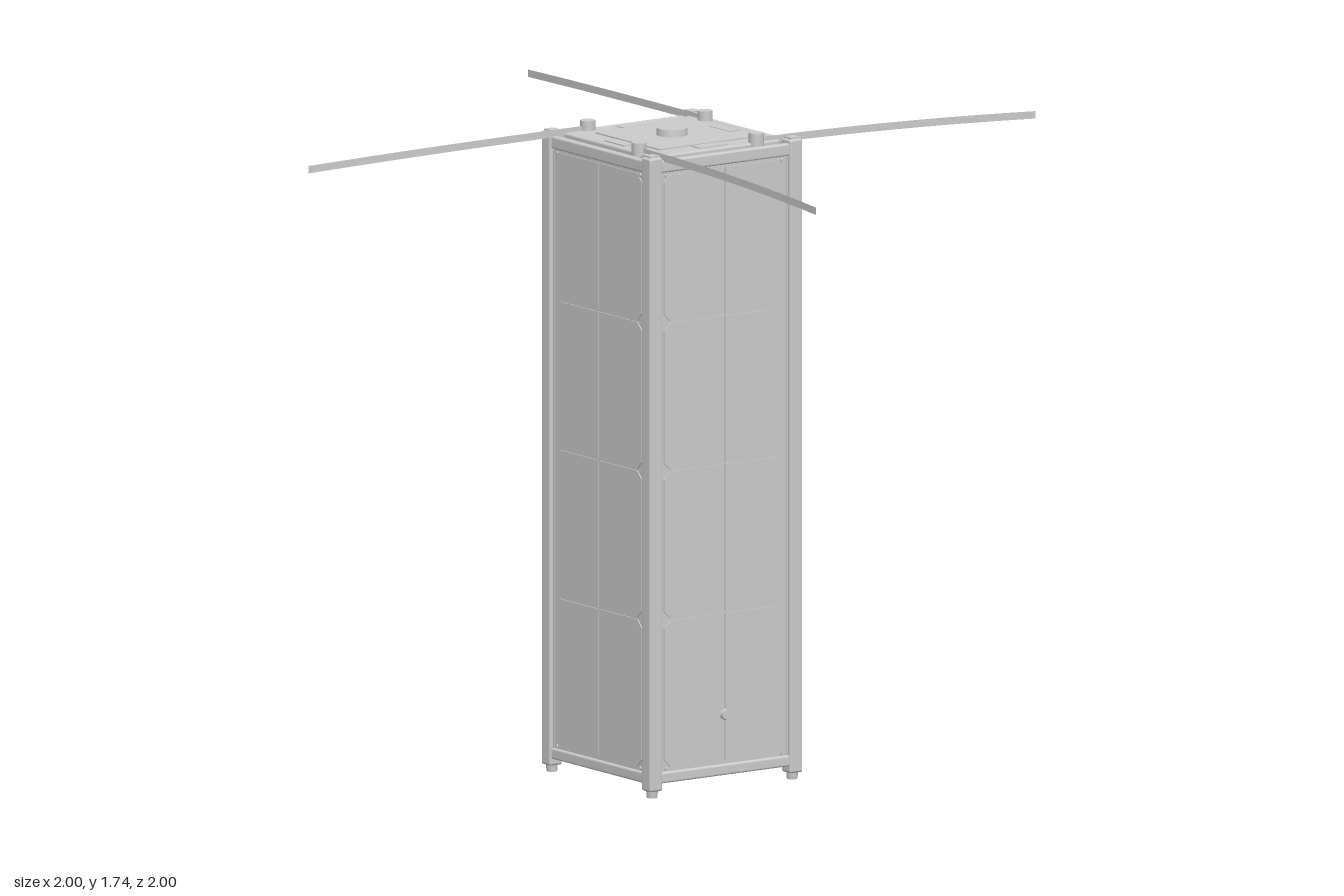
import * as THREE from 'three';
import { RoundedBoxGeometry } from 'three/addons/geometries/RoundedBoxGeometry.js';

const grey = new THREE.MeshStandardMaterial({ color: 0xcccccc });
const thin = new THREE.MeshStandardMaterial({ color: 0xcccccc, side: THREE.DoubleSide });

function add(parent, name, geometry, x = 0, y = 0, z = 0, material = grey) {
  const mesh = new THREE.Mesh(geometry, material);
  mesh.name = name;
  mesh.position.set(x, y, z);
  parent.add(mesh);
  return mesh;
}
const box = (w, h, d) => new THREE.BoxGeometry(w, h, d);

// Solar cell outline with clipped outer corners
function cellGeometry(w, h, cut) {
  const s = new THREE.Shape();
  s.moveTo(0, 0);
  s.lineTo(w - cut, 0);
  s.lineTo(w, cut);
  s.lineTo(w, h - cut);
  s.lineTo(w - cut, h);
  s.lineTo(0, h);
  s.closePath();
  return new THREE.ExtrudeGeometry(s, { depth: 0.003, bevelEnabled: false });
}

// Flat tape that drifts sideways and droops towards its tip
function tapeGeometry() {
  const n = 24, pos = [], index = [];
  for (let i = 0; i <= n; i++) {
    const t = i / n, x = 0.13 + 0.87 * t;
    const z = 0.199 + 0.049 * Math.pow(t, 1.7);
    const y = 1.717 - 0.019 * t * t;
    pos.push(x, y - 0.01, z, x, y + 0.01, z);
    if (i < n) {
      const a = i * 2;
      index.push(a, a + 2, a + 1, a + 1, a + 2, a + 3);
    }
  }
  const g = new THREE.BufferGeometry();
  g.setAttribute('position', new THREE.Float32BufferAttribute(pos, 3));
  g.setIndex(index);
  g.computeVertexNormals();
  return g;
}

// One side: panel, cross beams, cells and screws, facing +z
function buildSide(cell) {
  const side = new THREE.Group();
  side.name = 'sidePanel';
  add(side, 'panelBoard', box(0.412, 1.61, 0.01), 0, 0.87, 0.231);
  add(side, 'topBeam', new RoundedBoxGeometry(0.42, 0.034, 0.02, 2, 0.006), 0, 1.693, 0.234);
  add(side, 'bottomBeam', new RoundedBoxGeometry(0.42, 0.03, 0.02, 2, 0.006), 0, 0.052, 0.234);
  for (const s of [-1, 1]) {
    add(side, 'panelEdge', box(0.006, 1.61, 0.012), s * 0.206, 0.87, 0.232);
    for (let row = 0; row < 4; row++) {
      const c = add(side, 'solarCell', cell, s * 0.002, 0.078 + row * 0.399 + (s < 0 ? 0.394 : 0), 0.236);
      if (s < 0) {
        c.rotation.z = Math.PI;
      }
    }
    for (const y of [0.074, 1.667]) {
      const screw = add(side, 'screw', new THREE.CylinderGeometry(0.005, 0.005, 0.006, 10), s * 0.188, y, 0.238);
      screw.rotation.x = Math.PI / 2;
    }
  }
  return side;
}

export function createModel() {
  const model = new THREE.Group();
  model.name = 'smallSatellite';
  const cell = cellGeometry(0.194, 0.394, 0.02);
  const tape = tapeGeometry();

  // Core and end plates
  add(model, 'core', box(0.404, 1.64, 0.404), 0, 0.865, 0);
  add(model, 'topPlate', new RoundedBoxGeometry(0.41, 0.03, 0.41, 2, 0.006), 0, 1.7, 0);
  add(model, 'bottomPlate', box(0.41, 0.012, 0.41), 0, 0.044, 0);
  add(model, 'patchAntenna', box(0.29, 0.006, 0.29), 0, 1.716, 0);
  add(model, 'centreDisc', new THREE.CylinderGeometry(0.04, 0.042, 0.022, 32), 0, 1.727, 0);

  for (let k = 0; k < 4; k++) {
    const quarter = new THREE.Group();
    quarter.name = 'quarter' + (k + 1);
    quarter.rotation.y = k * Math.PI / 2;
    model.add(quarter);
    quarter.add(buildSide(cell));

    // Corner rail with stepped ends
    add(quarter, 'cornerRail', new RoundedBoxGeometry(0.042, 1.702, 0.042, 3, 0.007), 0.227, 0.869, 0.227);
    add(quarter, 'railFoot', new THREE.CylinderGeometry(0.016, 0.014, 0.022, 20), 0.227, 0.011, 0.227);
    add(quarter, 'railCap', box(0.03, 0.006, 0.03), 0.227, 1.721, 0.227);

    // Deployed tape antenna and its hub
    add(quarter, 'tapeAntenna', tape, 0, 0, 0, thin);
    add(quarter, 'antennaHub', new THREE.CylinderGeometry(0.02, 0.02, 0.036, 24), 0.13, 1.723, 0.2);
    add(quarter, 'topPad', box(0.09, 0.004, 0.036), 0, 1.716, 0.17);
  }

  // Sun sensors on the front and back
  const front = add(model, 'frontSensor', new THREE.CylinderGeometry(0.014, 0.016, 0.01, 6), 0, 0.2, 0.243);
  front.rotation.x = Math.PI / 2;
  add(model, 'backSensor', box(0.04, 0.02, 0.01), 0, 1.665, -0.243);
  return model;
}
